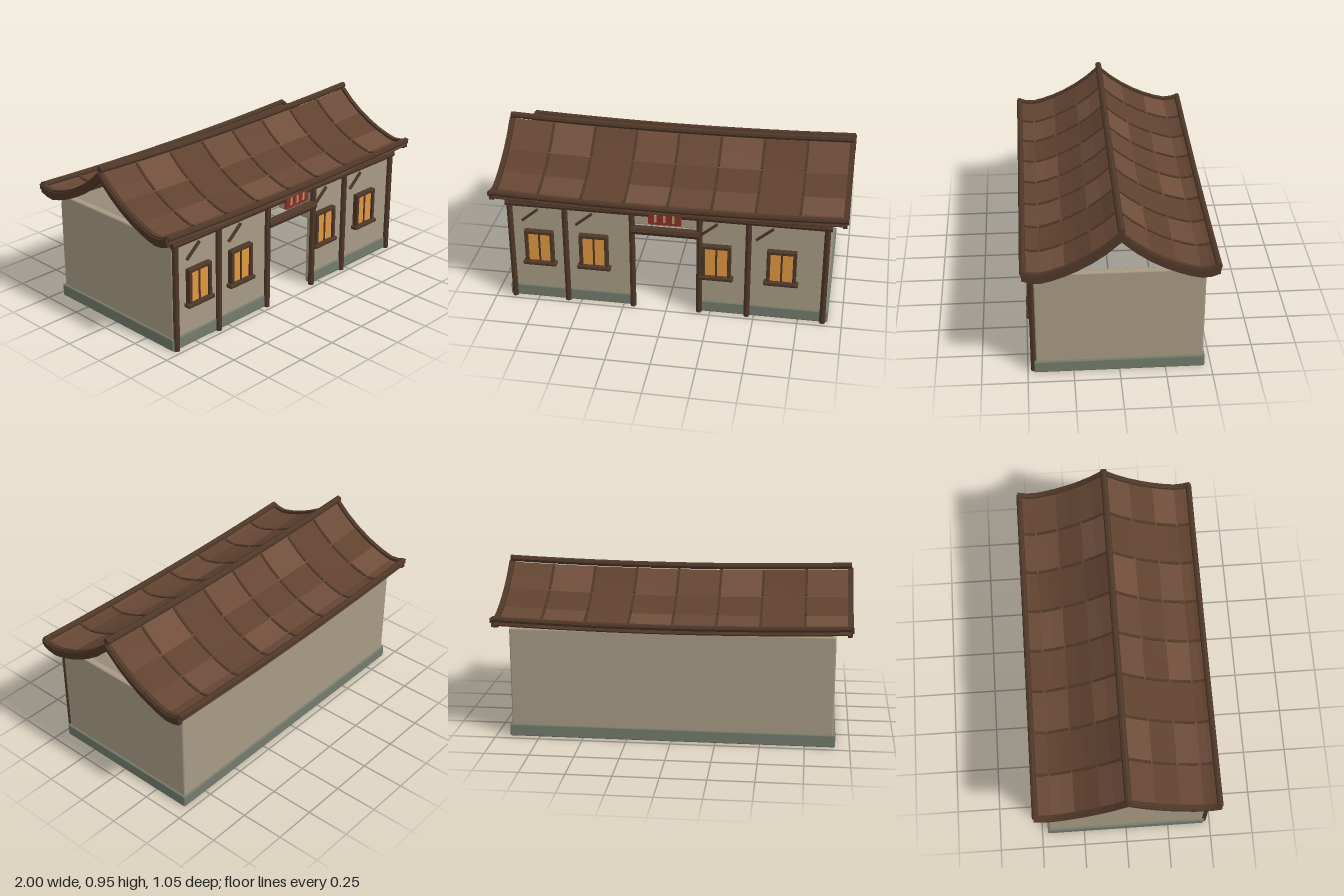
import * as THREE from 'three';
import { RoundedBoxGeometry } from 'three/addons/geometries/RoundedBoxGeometry.js';

const mat = (color, flatShading = false) => new THREE.MeshStandardMaterial({ color, flatShading });
const wood = mat(0x4e3728, true);
const plaster = mat(0xa89b84);
const stone = mat(0x747b6c);
const glow = mat(0xe0973f);
const red = mat(0x8c2f2b);
const gold = mat(0xb59a62);
const tileMats = [0x664634, 0x6b4a38, 0x60412f, 0x704e3b].map((c) => mat(c, true));

// Half roof section from ridge to upturned eave, as [z, y] at the gable ends
const PROFILE = [[0, 0.9], [0.075, 0.832], [0.15, 0.778], [0.225, 0.735],
  [0.29, 0.705], [0.36, 0.68], [0.42, 0.665], [0.47, 0.67], [0.515, 0.686]];
const ROWS = PROFILE.length - 1;
const sag = (x) => -0.022 * (1 - x * x);

function add(parent, name, geometry, material, x = 0, y = 0, z = 0) {
  const mesh = new THREE.Mesh(geometry, material);
  mesh.name = name;
  mesh.position.set(x, y, z);
  parent.add(mesh);
  return mesh;
}

const block = (w, h, d, r = 0.006) => new RoundedBoxGeometry(w, h, d, 1, r);

// Box between two corners, lightly bevelled
function span(parent, name, material, [x0, x1], [y0, y1], [z0, z1], r) {
  return add(parent, name, block(x1 - x0, y1 - y0, z1 - z0, r), material,
    (x0 + x1) / 2, (y0 + y1) / 2, (z0 + z1) / 2);
}

// Slab that follows the roof section from row u0 to u1, between two heights
function roofSlab(x0, x1, u0, u1, low, high) {
  const g = new THREE.BoxGeometry(1, 1, 1, 2, 1, Math.ceil(u1 - u0));
  const p = g.attributes.position;
  for (let i = 0; i < p.count; i++) {
    const x = x0 + (p.getX(i) + 0.5) * (x1 - x0);
    const u = u0 + (p.getZ(i) + 0.5) * (u1 - u0);
    const k = Math.min(Math.floor(u), ROWS - 1);
    const [za, ya] = PROFILE[k];
    const [zb, yb] = PROFILE[k + 1];
    const y = ya + (yb - ya) * (u - k) + sag(x) + low + (p.getY(i) + 0.5) * (high - low);
    p.setXYZ(i, x, y, za + (zb - za) * (u - k));
  }
  g.computeVertexNormals();
  return g;
}

// Long round pole along x, dipping in the middle like the roof
function sagPole(radius, length) {
  const g = new THREE.CylinderGeometry(radius, radius, length, 8, 12).rotateZ(Math.PI / 2);
  const p = g.attributes.position;
  for (let i = 0; i < p.count; i++) p.setY(i, p.getY(i) + sag(p.getX(i)));
  g.computeVertexNormals();
  return g;
}

function roofHalf() {
  const half = new THREE.Group();
  half.name = 'roofSlope';
  const cols = 8, x0 = -0.98, w = 1.96 / cols;
  for (let c = 0; c < cols; c++) {
    const x = x0 + c * w;
    for (let r = 0; r < ROWS; r += 2) {
      const tone = (c * 3 + r * 5 + ((c * r) >> 1)) % tileMats.length;
      add(half, 'tilePanel', roofSlab(x, x + w, r, r + 2, -0.016, 0.012), tileMats[tone]);
      // Raised seams, broken at every tile row
      if (c > 0) add(half, 'tileSeam', roofSlab(x - 0.007, x + 0.007, r + 0.1, r + 1.9, 0.005, 0.019), wood);
    }
  }
  // Gable trim: deep board with a slimmer outer strip
  for (const s of [-1, 1]) {
    add(half, 'gableBoard', roofSlab(s * 0.98 - 0.012, s * 0.98 + 0.012, 0, ROWS, -0.028, 0.028), wood);
    add(half, 'gableStrip', roofSlab(s * 0.988 - 0.012, s * 0.988 + 0.012, 0, ROWS, -0.006, 0.02), wood);
  }
  add(half, 'eavePole', sagPole(0.017, 1.97), wood, 0, 0.7, 0.507);
  add(half, 'eaveBoard', sagPole(0.014, 1.97), wood, 0, 0.674, 0.5);
  return half;
}

function windowUnit() {
  const g = new THREE.Group();
  g.name = 'window';
  add(g, 'pane', new THREE.BoxGeometry(0.14, 0.19, 0.02), glow, 0, 0.35, 0.464);
  for (const s of [-1, 1]) {
    add(g, 'frameSide', block(0.02, 0.205, 0.034, 0.004), wood, s * 0.073, 0.35, 0.472);
  }
  add(g, 'frameTop', block(0.166, 0.02, 0.034, 0.004), wood, 0, 0.445, 0.472);
  add(g, 'mullion', block(0.011, 0.19, 0.024, 0.003), wood, 0, 0.35, 0.468);
  add(g, 'sill', block(0.195, 0.024, 0.044, 0.008), wood, 0, 0.245, 0.476);
  return g;
}

export function createModel() {
  const house = new THREE.Group();
  house.name = 'house';

  // Hollow walls and plinth: back, two ends, two front pieces beside the doorway
  const layers = [['wall', plaster, 0.908, 0.456, [0, 0.635], 0.04, 0.01],
    ['plinth', stone, 0.92, 0.465, [0, 0.072], 0.044, 0.008]];
  for (const [name, m, X, Z, ys, t, r] of layers) {
    span(house, name + 'Back', m, [-X, X], ys, [-Z, -Z + t], r);
    for (const s of [-1, 1]) {
      const ends = s < 0 ? [-X, -X + t] : [X - t, X];
      span(house, name + 'End', m, ends, ys, [-Z, Z], r);
      const front = s < 0 ? [-X, -0.19] : [0.19, X];
      span(house, name + 'Front', m, front, ys, [Z - t, Z], r);
    }
  }

  // Timber posts, top beam and door lintel on the front
  for (const x of [-0.893, -0.577, -0.194, 0.187, 0.46, 0.89]) {
    add(house, 'frontPost', new THREE.CylinderGeometry(0.017, 0.017, 0.63, 8), wood, x, 0.315, 0.466);
  }
  add(house, 'topBeam', new THREE.CylinderGeometry(0.02, 0.02, 1.83, 8).rotateZ(Math.PI / 2), wood, 0, 0.622, 0.464);
  span(house, 'wallPlate', wood, [-0.9, 0.9], [0.618, 0.643], [0.432, 0.466]);
  add(house, 'doorLintel', new THREE.CylinderGeometry(0.027, 0.027, 0.385, 8).rotateZ(Math.PI / 2), wood, -0.004, 0.514, 0.47);

  // Slanting struts and windows
  for (const x of [-0.775, -0.465, 0.24, 0.55]) {
    const strut = add(house, 'strut', new THREE.BoxGeometry(0.122, 0.012, 0.014), wood, x, 0.555, 0.476);
    strut.rotation.z = 0.7;
  }
  for (const x of [-0.73, -0.415, 0.283, 0.648]) {
    const w = windowUnit();
    w.position.x = x;
    house.add(w);
  }

  // Plain hanging board with three pale strips
  const board = new THREE.Group();
  board.name = 'hangingBoard';
  span(board, 'boardPanel', red, [-0.094, 0.09], [0.58, 0.662], [0.496, 0.511], 0.004);
  for (const x of [-0.052, -0.002, 0.048]) {
    add(board, 'boardStrip', new THREE.BoxGeometry(0.013, 0.045, 0.004), gold, x, 0.62, 0.511);
  }
  house.add(board);

  // Two curved slopes meeting at the ridge
  const roof = new THREE.Group();
  roof.name = 'roof';
  const frontSlope = roofHalf();
  const backSlope = roofHalf();
  backSlope.rotation.y = Math.PI;
  roof.add(frontSlope, backSlope);
  add(roof, 'ridgePole', sagPole(0.019, 1.98), wood, 0, 0.934, 0);
  house.add(roof);

  return house;
}
